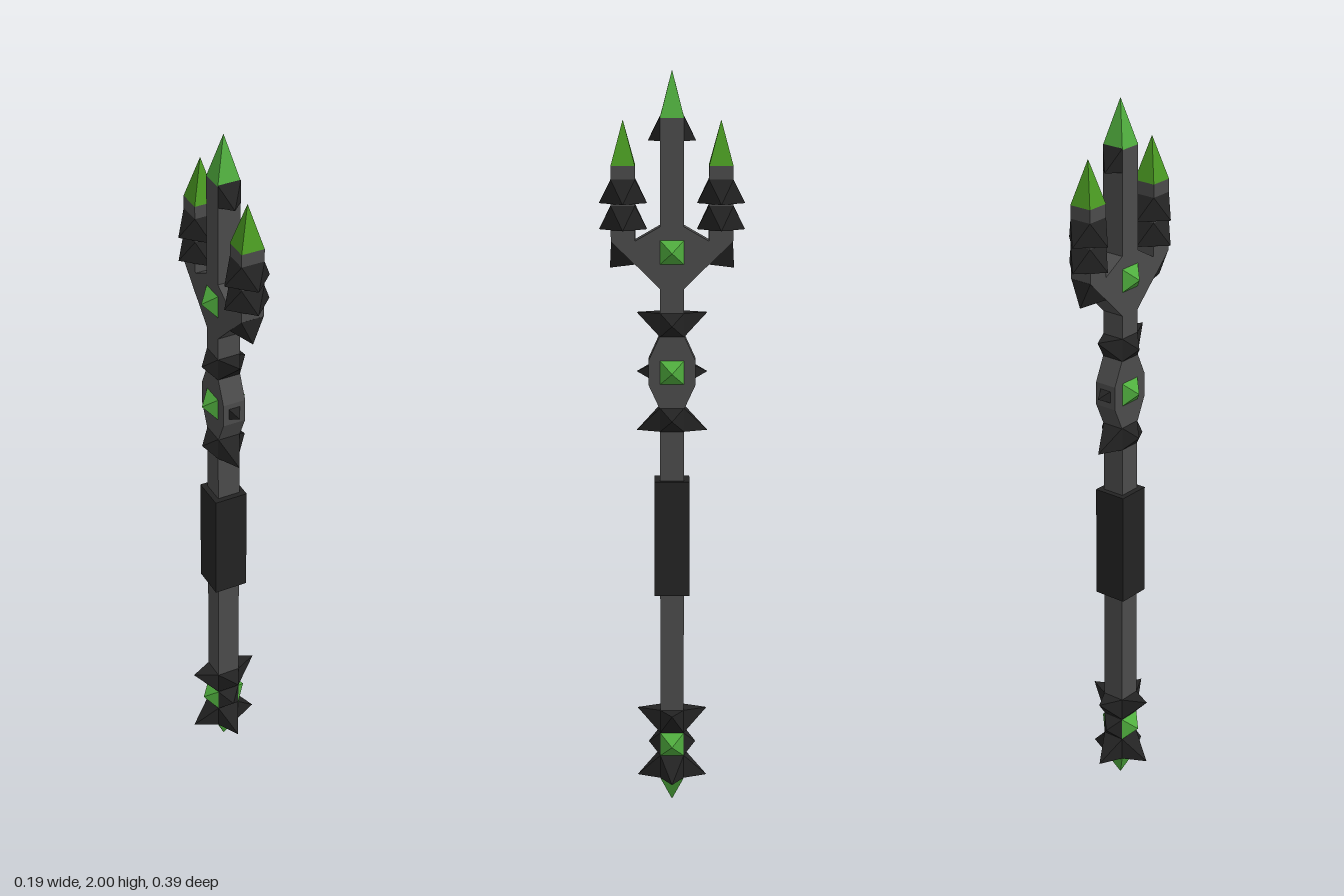
import * as THREE from 'three';

const R = 0.032; // half width of the square shaft
const mat = (name, color) => {
  const m = new THREE.MeshStandardMaterial({ color, flatShading: true });
  m.name = name;
  return m;
};

// four-sided point: square base at the origin, apex along +z, shifted in y
function pointGeometry(length, shift = 0, half = R) {
  const a = [-half, -half, 0], b = [half, -half, 0], c = [half, half, 0], d = [-half, half, 0];
  const tip = [0, shift, length];
  const g = new THREE.BufferGeometry();
  const tris = [a, b, tip, b, c, tip, c, d, tip, d, a, tip, a, d, c, a, c, b];
  g.setAttribute('position', new THREE.Float32BufferAttribute(tris.flat(), 3));
  g.computeVertexNormals();
  return g;
}

export function createModel() {
  const group = new THREE.Group();
  const grey = mat('dark grey metal', 0x4b4b4b);
  const black = mat('black metal', 0x232323);
  const green = mat('bright green crystal', 0x50ae3e);
  const olive = mat('deep green crystal', 0x4a9a22);

  const add = (name, geometry, material, x = 0, y = 0, z = 0) => {
    const mesh = new THREE.Mesh(geometry, material);
    mesh.name = name;
    mesh.position.set(x, y, z);
    group.add(mesh);
    return mesh;
  };
  const box = (name, material, w, y0, y1, z = 0) =>
    add(name, new THREE.BoxGeometry(w, y1 - y0, w), material, 0, (y0 + y1) / 2, z);

  // sideways point on a shaft face; angle 0 is +z, a quarter turn is +x
  const sidePoint = (name, material, y, angle, length, shift = 0, z = 0) => {
    const p = add(name, pointGeometry(length, shift), material,
      Math.sin(angle) * R, y, z + Math.cos(angle) * R);
    p.rotation.y = angle;
  };
  const Q = Math.PI / 2;
  const alongZ = [0, 2 * Q], alongX = [Q, 3 * Q], allSides = [0, Q, 2 * Q, 3 * Q];
  const ring = (name, material, y, angles, length, shift, z) =>
    angles.forEach(a => sidePoint(name, material, y, a, length, shift, z));

  // flat plate in the side plane, mirrored across z
  const plate = (name, half) => {
    const pts = [...half, ...half.slice().reverse().map(([z, y]) => [-z, y])];
    const shape = new THREE.Shape(pts.map(([z, y]) => new THREE.Vector2(z, y)));
    const g = new THREE.ExtrudeGeometry(shape, { depth: 2 * R, bevelEnabled: false });
    g.translate(0, 0, -R).rotateY(-Q);
    add(name, g, grey);
  };

  // upright or hanging crystal tip
  const crystal = (name, material, y, height, z = 0) => {
    const c = add(name, pointGeometry(Math.abs(height)), material, 0, y, z);
    c.rotation.x = height > 0 ? -Q : Q;
  };

  // shaft and grip
  box('shaft', grey, 2 * R, 0.07, 1.875);
  box('grip', black, 0.094, 0.59, 0.905);

  // pommel
  crystal('pommelCrystal', green, 0.07, -0.07);
  ring('pommelLowerSpike', black, 0.103, allSides, 0.063, -R);
  ring('pommelUpperSpike', black, 0.232, allSides, 0.063, R);
  ring('pommelGem', green, 0.167, alongX, R);
  ring('pommelStud', black, 0.167, alongZ, R);

  // swollen guard with its collars
  plate('guard', [[R, 1.1], [0.063, 1.167], [0.063, 1.232], [R, 1.3]]);
  ring('guardGem', green, 1.2, alongX, R);
  ring('guardStud', black, 1.2, alongZ, 0.063);
  ring('lowerCollarSpike', black, 1.072, alongZ, 0.063, -R);
  ring('lowerCollarStud', black, 1.072, alongX, R);
  ring('upperCollarSpike', black, 1.328, alongZ, 0.063, R);
  ring('upperCollarStud', black, 1.328, alongX, R);

  // trident head
  plate('tridentHead', [[R, 1.425], [0.098, 1.49], [0.162, 1.552], [0.162, 1.75],
    [0.098, 1.75], [0.098, 1.552], [R, 1.59]]);
  ring('headGem', green, 1.522, alongX, R);
  ring('centreBarb', black, 1.847, alongZ, R, -R);
  crystal('centreCrystal', green, 1.875, 0.125);

  // outer prongs
  for (const s of [1, -1]) {
    const z = s * 0.13;
    for (const y of [1.613, 1.682]) ring('prongBarb', black, y, allSides, R, -R, z);
    crystal('prongCrystal', olive, 1.75, 0.12, z);
    // elbow barb on the sloping underside
    const elbow = add('elbowBarb', pointGeometry(0.055, -0.005, 0.044), black, 0, 1.521, z);
    elbow.scale.x = R / 0.044;
    elbow.rotation.set(Math.PI / 4, s > 0 ? 0 : Math.PI, 0, 'YXZ');
  }
  return group;
}
